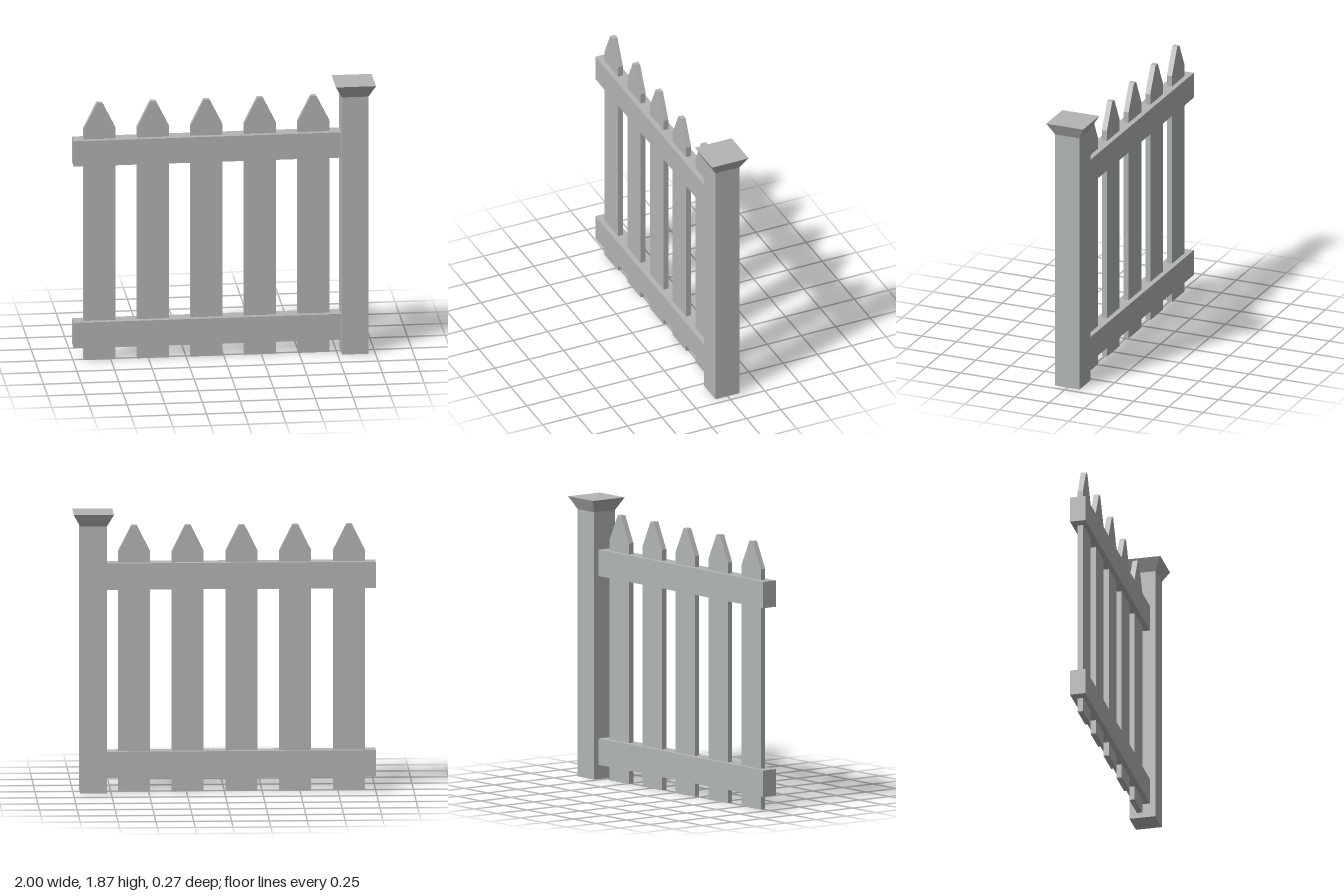
import * as THREE from 'three';

export function createModel() {
  const fence = new THREE.Group();
  fence.name = 'fence';
  const paint = new THREE.MeshStandardMaterial({ color: 0xb2b6b2 });
  paint.name = 'pale grey paint';

  const add = (name, geometry, x, y, z = 0) => {
    const mesh = new THREE.Mesh(geometry, paint);
    mesh.name = name;
    mesh.position.set(x, y, z);
    fence.add(mesh);
    return mesh;
  };

  // Pickets: flat boards with blunt pointed tops
  const half = 0.105, tip = 0.018, thick = 0.036;
  const outline = new THREE.Shape([
    [-half, 0], [half, 0], [half, 1.605], [tip, 1.78], [-tip, 1.78], [-half, 1.605],
  ].map(([x, y]) => new THREE.Vector2(x, y)));
  const board = new THREE.ExtrudeGeometry(outline, { depth: thick, bevelEnabled: false });
  for (let i = 0; i < 5; i++) add(`picket${i + 1}`, board, -0.824 + i * 0.355, 0, -thick / 2);

  // Two horizontal rails enclosing the pickets and meeting the post
  const rail = new THREE.BoxGeometry(1.776, 0.176, 0.105);
  add('lowerRail', rail, -0.112, 0.184);
  add('upperRail', rail, -0.112, 1.444);

  // Square end post
  const postX = 0.866, postWidth = 0.176, postHeight = 1.785;
  add('post', new THREE.BoxGeometry(postWidth, postHeight, postWidth), postX, postHeight / 2);

  // Post cap: box flaring outward to a wide flat top
  const capWidth = 0.266, capHeight = 0.085;
  const cap = new THREE.BoxGeometry(postWidth, capHeight, postWidth);
  const p = cap.attributes.position;
  for (let i = 0; i < p.count; i++) {
    if (p.getY(i) > 0) {
      p.setX(i, Math.sign(p.getX(i)) * capWidth / 2);
      p.setZ(i, Math.sign(p.getZ(i)) * capWidth / 2);
    }
  }
  cap.computeVertexNormals();
  add('postCap', cap, postX, postHeight + capHeight / 2);

  return fence;
}
